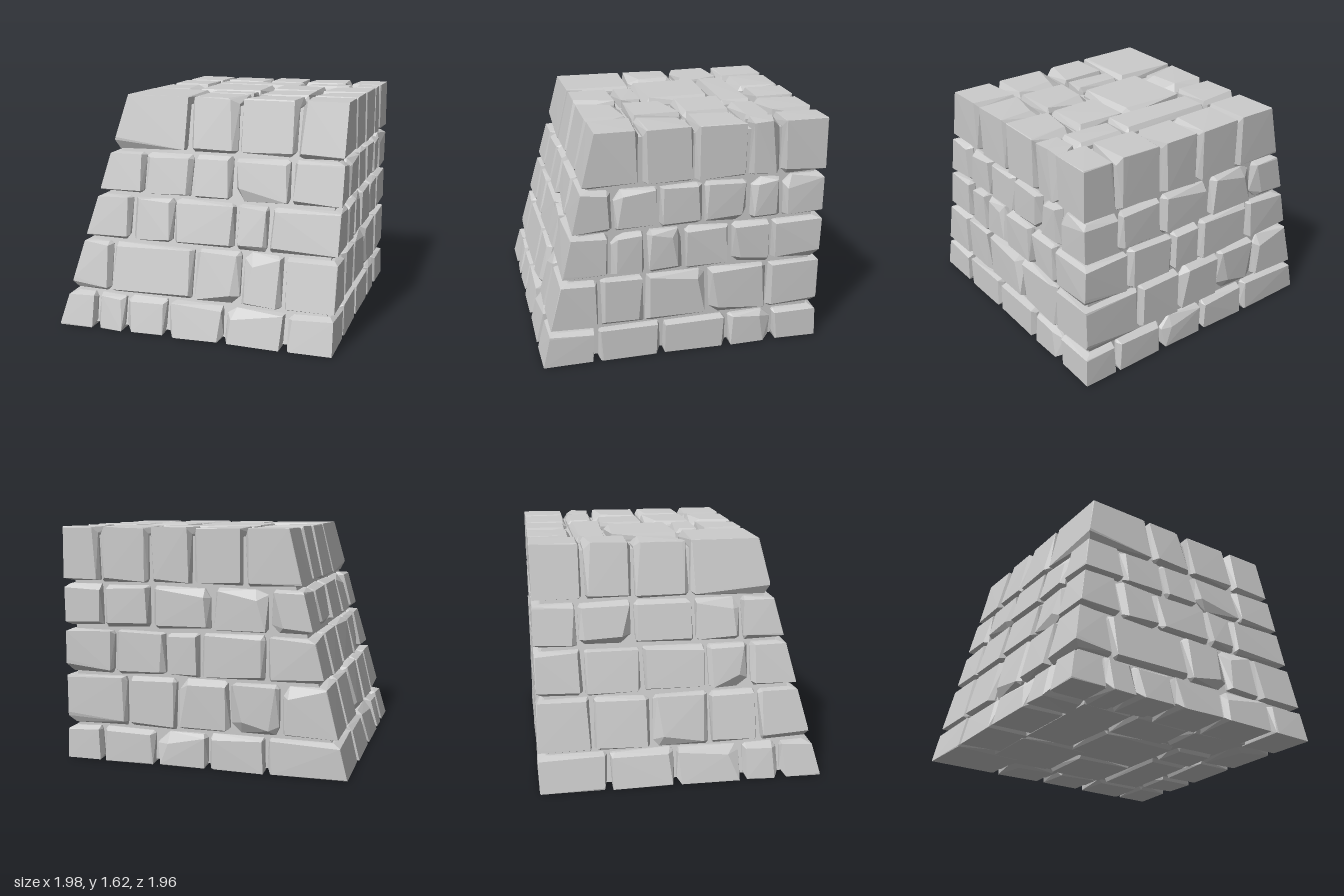
import * as THREE from 'three';
import { ConvexGeometry } from 'three/addons/geometries/ConvexGeometry.js';

const RIGHT = 0.985, BACK = -0.98, LEFT = -1, FRONT = 0.98, TOP = 1.625;
const SLOPE = 0.245; // the left and front walls lean inwards
const DEPTH = 0.3;

// joints of each course, along x for front and back, along z for the sides
const courses = [
  { y: [0, 0.25], front: [-0.72, -0.5, -0.18, 0.23, 0.66], back: [-0.45, -0.05, 0.33, 0.72],
    right: [-0.65, -0.32, 0.15, 0.6], left: [-0.5, -0.05, 0.42, 0.68] },
  { y: [0.25, 0.615], front: [-0.63, -0.01, 0.33, 0.62], back: [-0.55, -0.2, 0.17, 0.53],
    right: [-0.6, -0.17, 0.27, 0.58], left: [-0.6, -0.2, 0.2, 0.55] },
  { y: [0.615, 0.935], front: [-0.5, -0.19, 0.26, 0.5], back: [-0.45, 0, 0.25, 0.62],
    right: [-0.62, -0.33, 0, 0.26, 0.5], left: [-0.65, -0.25, 0.2, 0.5] },
  { y: [0.935, 1.24], front: [-0.43, -0.07, 0.22, 0.63], back: [-0.47, -0.08, 0.35, 0.7],
    right: [-0.68, -0.45, -0.13, 0.17, 0.48], left: [-0.68, -0.3, 0.12, 0.45] },
];

// stones of the top course: x0, x1, z0, z1 (LEFT etc. mark the outer walls)
const topStones = [
  [LEFT, -0.3, BACK, -0.63], [-0.3, 0.05, BACK, -0.66], [0.05, 0.36, BACK, -0.68],
  [0.36, 0.72, BACK, -0.66], [0.72, RIGHT, BACK, -0.66],
  [LEFT, -0.3, -0.63, -0.29], [-0.3, 0.41, -0.66, -0.41], [0.41, 0.8, -0.66, -0.44], [0.8, RIGHT, -0.66, -0.44],
  [LEFT, -0.28, -0.29, 0.1], [-0.28, 0.25, -0.41, 0.1], [0.25, 0.63, -0.44, -0.07], [0.63, RIGHT, -0.44, -0.07],
  [-0.12, 0.25, 0.1, 0.29], [0.25, 0.65, -0.07, 0.29], [0.65, RIGHT, -0.07, 0.29],
  [LEFT, -0.12, 0.1, FRONT], [-0.12, 0.24, 0.29, FRONT], [0.24, 0.65, 0.29, FRONT], [0.65, RIGHT, 0.29, FRONT],
];

// stones filling the underside
const floorStones = [
  [-0.72, -0.15, -0.7, -0.1], [-0.15, 0.35, -0.7, -0.25], [0.35, 0.7, -0.7, 0],
  [-0.72, -0.3, -0.1, 0.68], [-0.3, 0.35, -0.25, 0.3], [-0.3, 0.2, 0.3, 0.68], [0.2, 0.7, 0.3, 0.68], [0.35, 0.7, 0, 0.3],
];

export function createModel() {
  const model = new THREE.Group();
  model.name = 'stoneBlock';
  const material = new THREE.MeshStandardMaterial({ color: 0xcccccc, flatShading: true });

  let seed = 7;
  const rand = (a, b) => {
    seed = (seed * 16807) % 2147483647;
    return a + (b - a) * seed / 2147483647;
  };

  // leans a point with the wall its stone belongs to
  const lean = (p, onLeft, onFront) => {
    const y = p[1];
    return new THREE.Vector3(p[0] + (onLeft ? SLOPE * y : 0), y, p[2] - (onFront ? SLOPE * y * 0.96 : 0));
  };

  // rough stone: hull of a box whose joint edges are worn and outer edges kept crisp
  function addStone(group, name, x0, x1, y0, y1, z0, z1) {
    const lo = [x0, y0, z0], hi = [x1, y1, z1];
    const outer = [[x0 === LEFT, x1 === RIGHT], [y0 === 0, y1 === TOP], [z0 === BACK, z1 === FRONT]];
    const points = [];
    for (let corner = 0; corner < 8; corner++) {
      const side = [corner & 1, (corner >> 1) & 1, (corner >> 2) & 1];
      const chip = rand(0, 1) < 0.13 ? 2.2 : 1;
      for (let face = 0; face < 3; face++) {
        const faceOuter = outer[face][side[face]];
        const p = [0, 1, 2].map((axis) => {
          const isOuter = outer[axis][side[axis]];
          let inset;
          if (axis === face) inset = isOuter ? rand(0, 0.007) : rand(0.004, 0.02);
          else if (isOuter) inset = faceOuter ? rand(0, 0.012) : rand(0.03, 0.06);
          else inset = rand(0.018, 0.045) * chip;
          return side[axis] ? hi[axis] - inset : lo[axis] + inset;
        });
        // only the half nearest a leaning wall follows it
        points.push(lean(p, outer[0][0] && !side[0], outer[2][1] && side[2]));
      }
    }
    const mesh = new THREE.Mesh(new ConvexGeometry(points), material);
    mesh.name = name;
    group.add(mesh);
  }

  // wall courses: four corner stones plus the runs between them
  courses.forEach(({ y: [y0, y1], front, back, right, left }, i) => {
    const group = new THREE.Group();
    group.name = `course${i + 1}`;
    model.add(group);
    const last = (a) => a[a.length - 1];
    const stone = (name, x0, x1, z0, z1) => addStone(group, name, x0, x1, y0, y1, z0, z1);

    stone('cornerStone', LEFT, front[0], last(left), FRONT);
    stone('cornerStone', last(front), RIGHT, last(right), FRONT);
    stone('cornerStone', LEFT, back[0], BACK, left[0]);
    stone('cornerStone', last(back), RIGHT, BACK, right[0]);

    const inner = DEPTH + SLOPE * y1;
    const run = (joints, place) => {
      for (let k = 0; k + 1 < joints.length; k++) place(joints[k], joints[k + 1]);
    };
    run(front, (a, b) => stone('frontStone', a, b, FRONT - inner, FRONT));
    run(back, (a, b) => stone('backStone', a, b, BACK, BACK + DEPTH));
    run(left, (a, b) => stone('leftStone', LEFT, LEFT + inner, a, b));
    run(right, (a, b) => stone('rightStone', RIGHT - DEPTH, RIGHT, a, b));
    if (i === 0) floorStones.forEach((s) => stone('floorStone', ...s));
  });

  // top course, paved right across
  const topCourse = new THREE.Group();
  topCourse.name = 'topCourse';
  model.add(topCourse);
  topStones.forEach(([x0, x1, z0, z1]) => addStone(topCourse, 'topStone', x0, x1, 1.24, TOP, z0, z1));

  // mortar core, set back behind the stone faces
  const gap = 0.06, corePoints = [];
  for (const y of [0.03, TOP - gap])
    for (const x of [LEFT + gap, RIGHT - gap])
      for (const z of [BACK + gap, FRONT - gap])
        corePoints.push(lean([x, y, z], x < 0, z > 0));
  const core = new THREE.Mesh(new ConvexGeometry(corePoints), material);
  core.name = 'mortarCore';
  model.add(core);
  return model;
}
